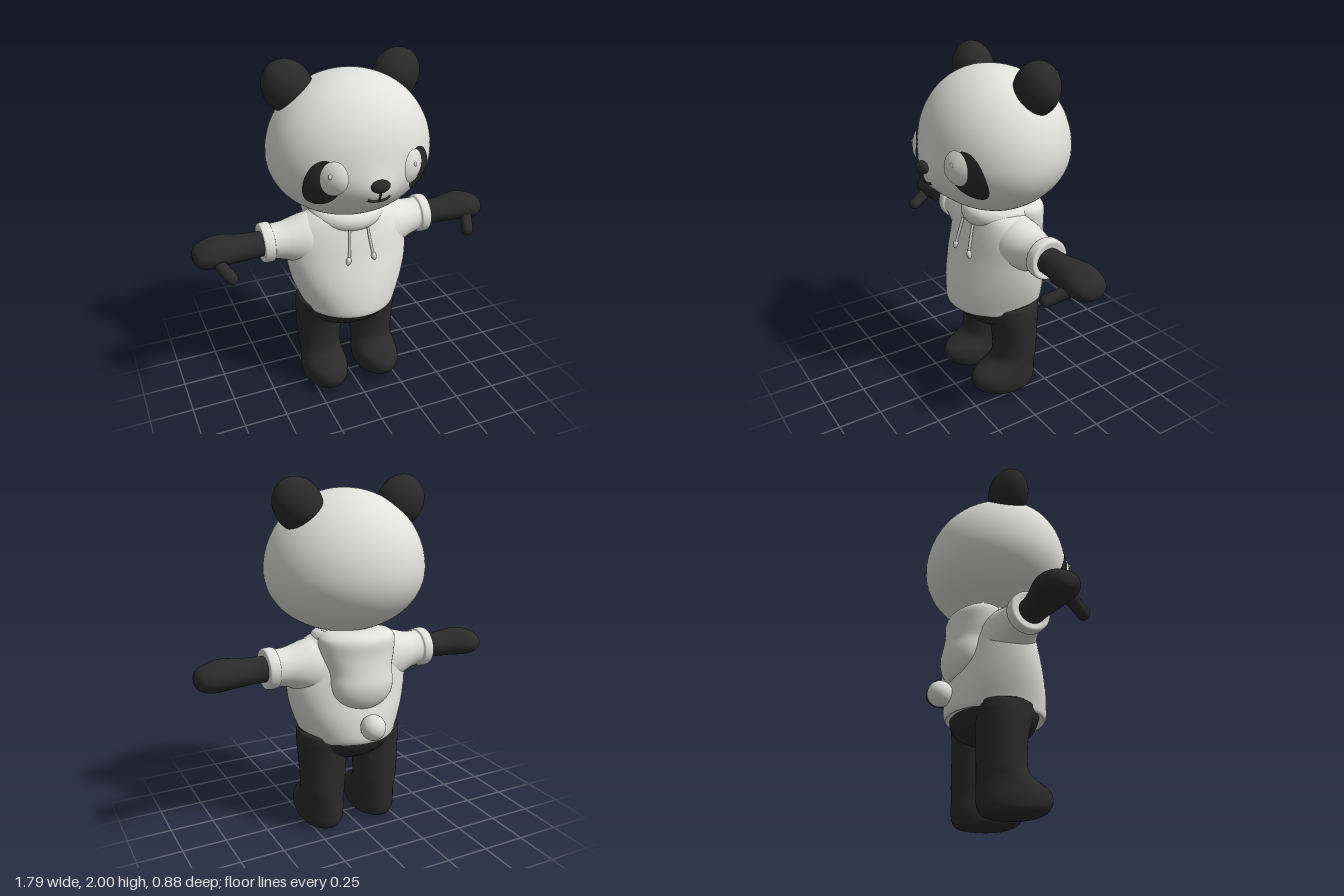
import * as THREE from 'three';
import { mergeVertices } from 'three/addons/utils/BufferGeometryUtils.js';

const white = new THREE.MeshStandardMaterial({ color: 0xe0e0dc });
white.name = 'softWhite';
const black = new THREE.MeshStandardMaterial({ color: 0x2a2a2a });
black.name = 'charcoal';

// Weld seams and recompute smooth normals
function smooth(geo) {
  geo.deleteAttribute('uv');
  geo.deleteAttribute('normal');
  const g = mergeVertices(geo, 1e-5);
  g.computeVertexNormals();
  return g;
}

// Move every vertex by a rule
function reshape(geo, rule) {
  const p = geo.attributes.position;
  const v = new THREE.Vector3();
  for (let i = 0; i < p.count; i++) {
    rule(v.fromBufferAttribute(p, i));
    p.setXYZ(i, v.x, v.y, v.z);
  }
  return smooth(geo);
}

// Copy a geometry to the other side of x = 0, keeping faces outward
function mirror(geo) {
  const g = geo.clone().scale(-1, 1, 1);
  const idx = g.index.array;
  for (let i = 0; i < idx.length; i += 3) [idx[i], idx[i + 1]] = [idx[i + 1], idx[i]];
  g.computeVertexNormals();
  return g;
}

// Smooth loft through elliptical rings.
// axis y: [y, xMin, xMax, zMin, zMax]; axis x: [x, zMin, zMax, yMin, yMax]
function loft(rings, axis = 'y', seg = 40, sub = 5) {
  const at = (i) => rings[Math.max(0, Math.min(rings.length - 1, i))];
  const pos = [], index = [];
  const count = (rings.length - 1) * sub + 1;
  for (let k = 0; k < count; k++) {
    const i = Math.min(Math.floor(k / sub), rings.length - 2);
    const t = k / sub - i;
    const [h, a0, a1, b0, b1] = at(i).map((p1, c) => {
      const p0 = at(i - 1)[c], p2 = at(i + 1)[c], p3 = at(i + 2)[c];
      return 0.5 * (2 * p1 + (p2 - p0) * t + (2 * p0 - 5 * p1 + 4 * p2 - p3) * t * t
        + (3 * p1 - p0 - 3 * p2 + p3) * t * t * t);
    });
    const ra = Math.max(0, a1 - a0) / 2, rb = Math.max(0, b1 - b0) / 2;
    for (let j = 0; j < seg; j++) {
      const w = (j / seg) * Math.PI * 2;
      const u = (a0 + a1) / 2 + ra * Math.cos(w), v = (b0 + b1) / 2 + rb * Math.sin(w);
      if (axis === 'y') pos.push(u, h, v);
      else pos.push(h, v, u);
      if (k < count - 1) {
        const a = k * seg + j, b = k * seg + (j + 1) % seg;
        index.push(a, a + seg, b, b, a + seg, b + seg);
      }
    }
  }
  const g = new THREE.BufferGeometry();
  g.setAttribute('position', new THREE.Float32BufferAttribute(pos, 3));
  g.setIndex(index);
  return smooth(g);
}

const ellipsoid = (x, y, z, rx, ry, rz, tilt = 0) =>
  smooth(new THREE.SphereGeometry(1, 36, 24).scale(rx, ry, rz).rotateZ(tilt).translate(x, y, z));

const tube = (points, r) => smooth(new THREE.TubeGeometry(
  new THREE.CatmullRomCurve3(points.map((p) => new THREE.Vector3(...p))), 20, r, 8));

// Head: egg shape with a soft muzzle bulge
const HEAD_Y = 1.5;
const muzzle = (x, y) => 0.052 * Math.exp(-((x / 0.14) ** 2) - (((y - 1.385) / 0.11) ** 2));
const headHalf = (y) => (y > HEAD_Y ? 0.435 : 0.348);
function headZ(x, y) {
  const n = 1 - (x / 0.455) ** 2 - ((y - HEAD_Y) / headHalf(y)) ** 2;
  return 0.375 * Math.sqrt(Math.max(0, n)) + muzzle(x, y);
}

// Oval that follows the face, with an optional dome
function facePatch(cx, cy, rx, ry, tilt, lift, dome) {
  return reshape(new THREE.RingGeometry(0.001, 1, 48, 10), (v) => {
    const d = Math.min(1, v.x * v.x + v.y * v.y);
    const px = v.x * rx, py = v.y * ry;
    v.x = cx + px * Math.cos(tilt) - py * Math.sin(tilt);
    v.y = cy + px * Math.sin(tilt) + py * Math.cos(tilt);
    v.z = headZ(v.x, v.y) + lift + dome * (1 - d);
  });
}

export function createModel() {
  const model = new THREE.Group();
  model.name = 'pandaFigure';
  const add = (name, geo, mat) => {
    const m = new THREE.Mesh(geo, mat);
    m.name = name;
    model.add(m);
  };
  const pair = (name, geo, mat) => {
    add('left' + name, geo, mat);
    add('right' + name, mirror(geo), mat);
  };

  // Head and ears
  add('head', reshape(new THREE.SphereGeometry(1, 80, 60), (v) => {
    const front = v.z > 0;
    const fade = THREE.MathUtils.smoothstep(v.z, 0, 0.4);
    v.x *= 0.455;
    v.y = HEAD_Y + v.y * (v.y > 0 ? 0.435 : 0.348);
    v.z = v.z * (front ? 0.375 : 0.44) + fade * muzzle(v.x, v.y);
  }), white);
  pair('Ear', ellipsoid(0.308, 1.858, -0.085, 0.132, 0.148, 0.113, -0.6), black);

  // Face
  pair('EyePatch', facePatch(0.268, 1.455, 0.082, 0.132, 0.17, 0.006, 0), black);
  pair('Eye', facePatch(0.218, 1.492, 0.064, 0.093, 0.05, 0.009, 0.02), white);
  for (const [name, x] of [['leftEyeGlint', 0.217], ['rightEyeGlint', -0.243]]) {
    add(name, ellipsoid(x, 1.512, headZ(x, 1.512) + 0.027, 0.011, 0.013, 0.006), white);
  }
  add('nose', ellipsoid(0, 1.448, 0.412, 0.052, 0.034, 0.03), black);
  const onFace = (x, y) => [x, y, headZ(x, y) + 0.002];
  add('noseLine', tube([onFace(0, 1.43), onFace(0, 1.395), onFace(0, 1.362)], 0.006), black);
  add('mouth', tube([[-0.062, 1.377], [-0.045, 1.366], [0, 1.361], [0.045, 1.366], [0.062, 1.377]]
    .map((p) => onFace(...p)), 0.007), black);

  // Hoodie body
  add('hoodieBody', loft([
    [0.575, 0, 0, -0.03, -0.03], [0.562, -0.24, 0.24, -0.27, 0.21],
    [0.56, -0.272, 0.272, -0.3, 0.245], [0.6, -0.288, 0.288, -0.312, 0.255],
    [0.7, -0.328, 0.328, -0.3, 0.24], [0.8, -0.355, 0.355, -0.275, 0.213],
    [0.9, -0.365, 0.365, -0.25, 0.182], [1.0, -0.355, 0.355, -0.225, 0.155],
    [1.08, -0.31, 0.31, -0.2, 0.13], [1.13, -0.24, 0.24, -0.18, 0.11],
    [1.16, -0.15, 0.15, -0.15, 0.07], [1.165, 0, 0, -0.04, -0.04]], 'y', 56), white);

  // Sleeves with a raised cuff
  pair('Sleeve', loft([
    [0.16, -0.2, 0.1, 0.8, 1.13], [0.25, -0.195, 0.1, 0.815, 1.132], [0.32, -0.18, 0.08, 0.85, 1.115],
    [0.38, -0.165, 0.06, 0.88, 1.1], [0.43, -0.158, 0.048, 0.892, 1.097], [0.447, -0.158, 0.047, 0.892, 1.098],
    [0.457, -0.17, 0.06, 0.885, 1.11], [0.5, -0.168, 0.058, 0.884, 1.11],
    [0.512, -0.158, 0.048, 0.894, 1.1], [0.508, -0.125, 0.02, 0.92, 1.07],
    [0.5, -0.055, -0.055, 0.995, 0.995]], 'x'), white);

  // Collar, hood and drawstrings
  add('collar', smooth(new THREE.TorusGeometry(1, 0.28, 20, 56).rotateX(Math.PI / 2)
    .scale(0.172, 0.19, 0.155).rotateX(0.08).translate(0, 1.118, -0.048)), white);
  add('hood', loft([
    [0.752, 0, 0, -0.24, -0.24], [0.762, -0.07, 0.07, -0.285, -0.18],
    [0.79, -0.135, 0.135, -0.312, -0.14], [0.84, -0.177, 0.177, -0.334, -0.1],
    [0.9, -0.19, 0.19, -0.341, -0.07], [0.97, -0.19, 0.19, -0.328, -0.05],
    [1.05, -0.217, 0.217, -0.315, -0.01], [1.13, -0.225, 0.225, -0.312, 0],
    [1.165, -0.205, 0.205, -0.288, -0.02], [1.185, -0.15, 0.15, -0.24, -0.08],
    [1.187, 0, 0, -0.16, -0.16]]), white);
  pair('Drawstring', tube([[0.055, 1.08, 0.142], [0.06, 1.02, 0.158], [0.073, 0.92, 0.182]], 0.008), white);
  pair('DrawstringTip', ellipsoid(0.077, 0.91, 0.182, 0.015, 0.025, 0.014, 0.15), white);

  // Arms and thumbs
  pair('Arm', loft([
    [0.42, -0.125, 0.025, 0.925, 1.065], [0.54, -0.125, 0.025, 0.925, 1.068],
    [0.62, -0.137, 0.035, 0.923, 1.07], [0.7, -0.155, 0.047, 0.92, 1.08],
    [0.76, -0.163, 0.053, 0.915, 1.081], [0.82, -0.158, 0.048, 0.915, 1.066],
    [0.865, -0.137, 0.027, 0.93, 1.045], [0.887, -0.1, -0.01, 0.955, 1.02],
    [0.893, -0.055, -0.055, 0.987, 0.987]], 'x'), black);
  const from = new THREE.Vector3(0.78, 0.975, -0.01), to = new THREE.Vector3(0.722, 0.915, 0.122);
  const dir = to.clone().sub(from);
  const thumb = new THREE.CapsuleGeometry(0.034, dir.length(), 10, 20).applyQuaternion(
    new THREE.Quaternion().setFromUnitVectors(new THREE.Vector3(0, 1, 0), dir.clone().normalize()));
  const mid = from.clone().add(to).multiplyScalar(0.5);
  pair('Thumb', smooth(thumb.translate(mid.x, mid.y, mid.z)), black);

  // Hips, legs and feet
  add('hips', ellipsoid(0, 0.575, -0.035, 0.295, 0.175, 0.235), black);
  pair('Leg', loft([
    [0, 0.17, 0.17, -0.05, -0.05], [0.003, 0.1, 0.24, -0.14, 0.06],
    [0.018, 0.063, 0.277, -0.178, 0.135], [0.05, 0.043, 0.298, -0.195, 0.19],
    [0.1, 0.035, 0.305, -0.2, 0.216], [0.15, 0.038, 0.302, -0.2, 0.198],
    [0.19, 0.045, 0.298, -0.2, 0.13], [0.235, 0.045, 0.3, -0.2, 0.075],
    [0.32, 0.04, 0.306, -0.2, 0.065], [0.42, 0.03, 0.312, -0.2, 0.075],
    [0.5, 0.02, 0.315, -0.205, 0.095], [0.56, 0.02, 0.312, -0.21, 0.11],
    [0.6, 0.05, 0.292, -0.19, 0.1], [0.63, 0.16, 0.16, -0.05, -0.05]]), black);

  // Tail
  add('tail', ellipsoid(0, 0.672, -0.35, 0.07, 0.072, 0.07), white);

  return model;
}
